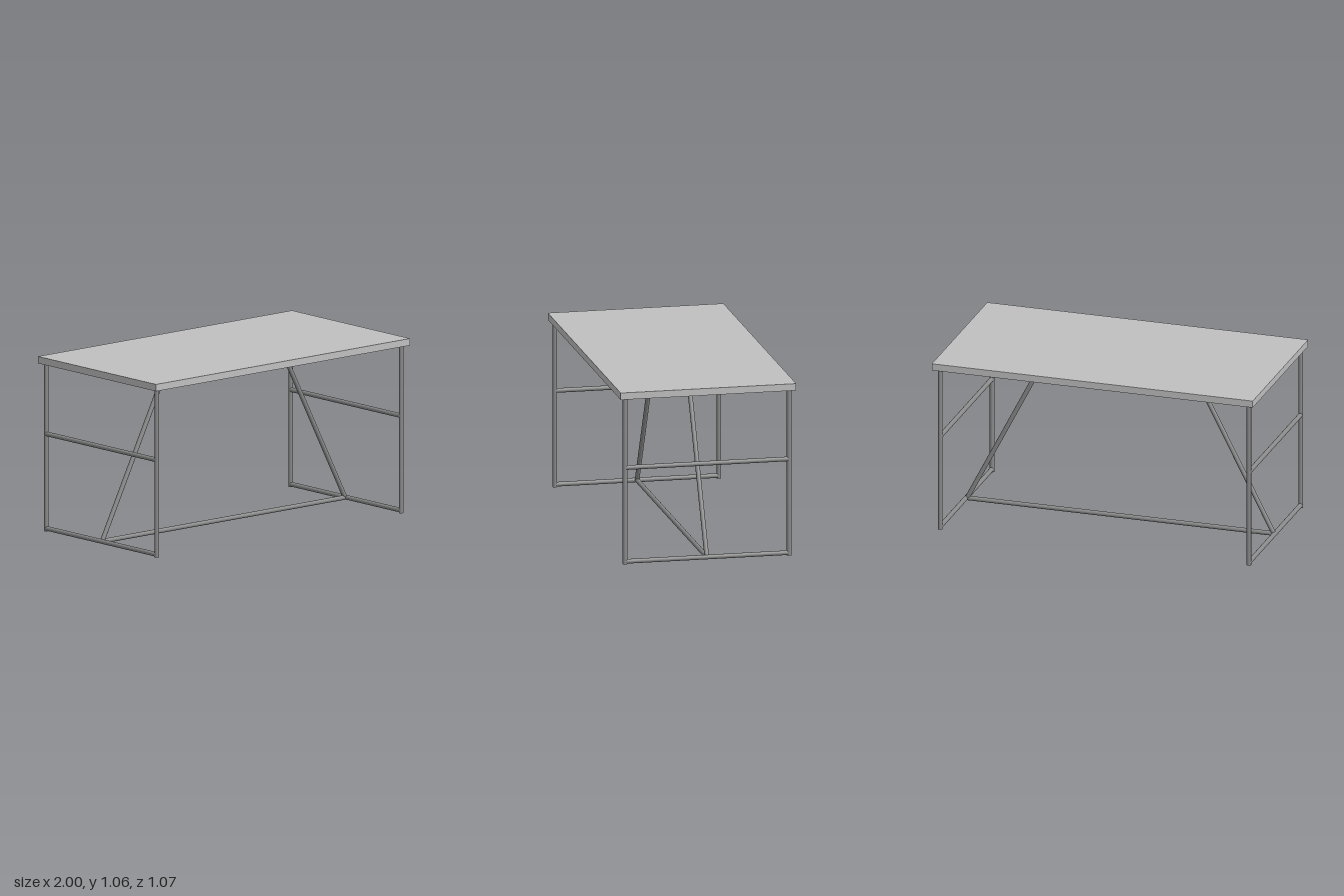
import * as THREE from 'three';

const RADIUS = 0.0138;

export function createModel() {
  const model = new THREE.Group();
  model.name = 'table';
  const topGrey = new THREE.MeshStandardMaterial({ color: 0xc0c0c0 });
  topGrey.name = 'light grey top';
  const steel = new THREE.MeshStandardMaterial({ color: 0x8a8a8a });
  steel.name = 'grey steel';

  // Round tube between two points
  function addTube(parent, name, from, to) {
    const a = new THREE.Vector3(...from);
    const b = new THREE.Vector3(...to);
    const dir = b.clone().sub(a);
    const tube = new THREE.Mesh(new THREE.CylinderGeometry(RADIUS, RADIUS, dir.length(), 20), steel);
    tube.name = name;
    tube.position.copy(a).add(b).multiplyScalar(0.5);
    tube.quaternion.setFromUnitVectors(new THREE.Vector3(0, 1, 0), dir.normalize());
    parent.add(tube);
  }

  // Table top
  const top = new THREE.Mesh(new THREE.BoxGeometry(2, 0.042, 1.066), topGrey);
  top.name = 'tableTop';
  top.position.y = 1.036;
  model.add(top);

  // Tube frame: a leg frame and a slanted brace at each end
  const frame = new THREE.Group();
  frame.name = 'frame';
  frame.position.x = -0.003;
  model.add(frame);
  const legX = 0.962, legZ = 0.498, railY = 0.016;
  for (const side of [-1, 1]) {
    const end = new THREE.Group();
    end.name = side > 0 ? 'leftEndFrame' : 'rightEndFrame';
    const x = side * legX;
    for (const z of [legZ, -legZ]) {
      addTube(end, z > 0 ? 'frontLeg' : 'backLeg', [x, 0, z], [x, 1.016, z]);
    }
    addTube(end, 'footRail', [x, railY, -legZ], [x, railY, legZ]);
    addTube(end, 'middleRail', [x, 0.589, -legZ], [x, 0.589, legZ]);
    addTube(end, 'brace', [side * 0.956, railY, 0], [side * 0.44, 1.016, 0]);
    frame.add(end);
  }

  // Long bar joining both ends
  addTube(frame, 'stretcher', [-legX, railY, 0], [legX, railY, 0]);
  return model;
}
